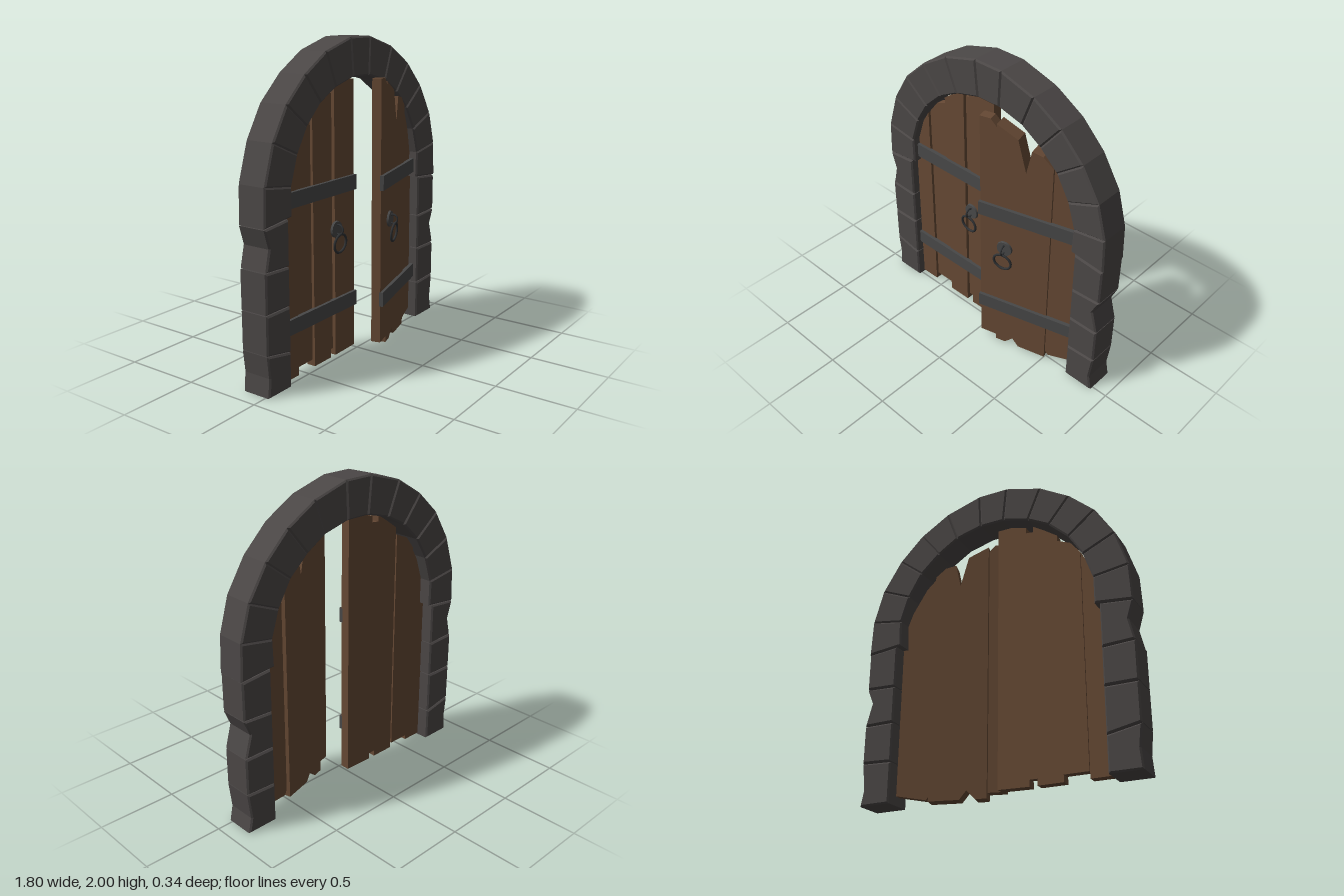
import * as THREE from 'three';

const mat = (name, color, side = THREE.FrontSide) => {
  const m = new THREE.MeshStandardMaterial({ color, side });
  m.name = name;
  return m;
};

export function createModel() {
  const stone = mat('stone', 0x4b4746);
  const wood = mat('wood', 0x664934);
  const iron = mat('iron', 0x484848);
  const darkIron = mat('darkIron', 0x303234);

  const root = new THREE.Group();
  root.name = 'archedDoor';

  const add = (parent, name, geometry, material, x = 0, y = 0, z = 0) => {
    const mesh = new THREE.Mesh(geometry, material);
    mesh.name = name;
    mesh.position.set(x, y, z);
    parent.add(mesh);
    return mesh;
  };

  // Extrudes an outline from z0 to z1, with an optional chamfer kept inside it
  const slab = (points, z0, z1, bevel = 0) => {
    const shape = new THREE.Shape(points.map(([x, y]) => new THREE.Vector2(x, y)));
    const g = new THREE.ExtrudeGeometry(shape, {
      depth: z1 - z0 - 2 * bevel, bevelEnabled: bevel > 0, bevelSegments: 1,
      bevelSize: bevel, bevelThickness: bevel, bevelOffset: -bevel,
    });
    return g.translate(0, 0, z0 + bevel);
  };

  // Stone frame
  const frame = new THREE.Group();
  frame.name = 'stoneFrame';
  root.add(frame);
  const addStone = (name, pts) => add(frame, name, slab(pts, -0.17, 0.03, 0.01), stone);

  // Arch joints: outer x, outer y, inner x, inner y
  const joints = [
    [-0.905, 1.0, -0.668, 1.025], [-0.895, 1.23, -0.668, 1.197],
    [-0.82, 1.465, -0.61, 1.37], [-0.70, 1.66, -0.52, 1.517],
    [-0.535, 1.812, -0.393, 1.638], [-0.34, 1.93, -0.25, 1.715],
    [-0.10, 2.0, -0.077, 1.762], [0.10, 2.0, 0.087, 1.762],
    [0.34, 1.93, 0.261, 1.718], [0.54, 1.812, 0.398, 1.633],
    [0.70, 1.655, 0.525, 1.517], [0.826, 1.455, 0.615, 1.364],
    [0.89, 1.235, 0.668, 1.197], [0.9, 1.005, 0.662, 1.027],
  ];
  for (let i = 0; i + 1 < joints.length; i++) {
    const [ax, ay, bx, by] = joints[i];
    const [cx, cy, dx, dy] = joints[i + 1];
    addStone('archStone' + (i + 1), [[ax, ay], [bx, by], [dx, dy], [cx, cy]]);
  }

  // Pillar stones, some with chipped outer edges
  const rightPillar = [
    [[-0.90, 0], [-0.70, 0], [-0.70, 0.215], [-0.905, 0.255], [-0.89, 0.12]],
    [[-0.905, 0.26], [-0.70, 0.22], [-0.70, 0.497], [-0.905, 0.497]],
    [[-0.905, 0.503], [-0.70, 0.503], [-0.70, 0.735], [-0.905, 0.745]],
    [[-0.90, 0.75], [-0.70, 0.74], [-0.70, 1.015], [-0.905, 0.995], [-0.87, 0.88]],
  ];
  const leftPillar = [
    [[0.895, 0], [0.69, 0], [0.69, 0.255], [0.895, 0.265], [0.875, 0.10]],
    [[0.895, 0.27], [0.69, 0.26], [0.69, 0.507], [0.895, 0.507]],
    [[0.895, 0.513], [0.69, 0.513], [0.69, 0.745], [0.895, 0.755], [0.855, 0.66]],
    [[0.895, 0.76], [0.69, 0.75], [0.69, 1.02], [0.895, 1.0]],
  ];
  rightPillar.forEach((p, i) => addStone('rightPillarStone' + (i + 1), p));
  leftPillar.forEach((p, i) => addStone('leftPillarStone' + (i + 1), p));

  // A door leaf: planks as [back, front, outline], two straps and a ring handle
  const makeDoor = (name, planks, x0, x1, handleX) => {
    const door = new THREE.Group();
    door.name = name;
    planks.forEach(([z0, z1, pts], i) =>
      add(door, 'plank' + (i + 1), slab(pts, z0, z1), wood));
    for (const y of [0.345, 1.106]) {
      add(door, 'strap', new THREE.BoxGeometry(x1 - x0, 0.095, 0.025), iron, (x0 + x1) / 2, y, 0.0375);
    }
    add(door, 'handlePlate', new THREE.CylinderGeometry(0.05, 0.053, 0.014, 24).rotateX(Math.PI / 2),
      iron, handleX, 0.838, 0.036);
    add(door, 'handleLoop', new THREE.TorusGeometry(0.03, 0.006, 8, 24).rotateY(Math.PI / 2),
      darkIron, handleX, 0.838, 0.055);
    add(door, 'handleRing', new THREE.TorusGeometry(0.059, 0.008, 8, 32).rotateX(0.1),
      darkIron, handleX, 0.752, 0.064);
    root.add(door);
    return door;
  };

  // Closed leaf
  const closed = makeDoor('rightDoor', [
    [-0.03, 0.03, [[-0.71, 0.01], [-0.567, 0.01], [-0.567, 1.43], [-0.64, 1.31], [-0.71, 1.15]]],
    [-0.04, 0.012, [[-0.567, 0.05], [-0.412, 0.05], [-0.412, 1.555], [-0.505, 1.515], [-0.567, 1.435]]],
    [-0.03, 0.03, [[-0.412, 0.01], [-0.25, 0.01], [-0.25, 1.71], [-0.32, 1.665], [-0.412, 1.6]]],
    [-0.03, 0.008, [[-0.25, 0.05], [-0.2, 0.05], [-0.2, 1.675], [-0.25, 1.67]]],
    [-0.03, 0.03, [[-0.2, 0.01], [0, 0.015], [0, 1.745], [-0.1, 1.745], [-0.2, 1.715]]],
  ], -0.71, 0, -0.19);
  closed.position.z = -0.055;

  // Leaf standing ajar, swung forward about its outer edge
  const ajar = makeDoor('leftDoor', [
    [-0.03, 0.03, [[-0.67, 0.05], [-0.56, 0.05], [-0.56, 1.705], [-0.6, 1.75], [-0.67, 1.75]]],
    [-0.055, 0.03, [[-0.56, 0.01], [-0.49, 0.01], [-0.435, 0.065], [-0.392, 0.01], [-0.2, 0.01],
      [-0.2, 1.535], [-0.267, 1.595], [-0.337, 1.61], [-0.37, 1.45], [-0.424, 1.66], [-0.56, 1.725]]],
    [-0.03, 0.015, [[-0.2, 0.055], [-0.18, 0.025], [0.01, 0.06], [0.01, 1.18], [-0.035, 1.27],
      [-0.135, 1.46], [-0.2, 1.535]]],
  ], -0.675, 0.01, -0.5);
  ajar.position.set(0.69, 0, -0.055);
  ajar.rotation.y = 0.26;

  return root;
}
